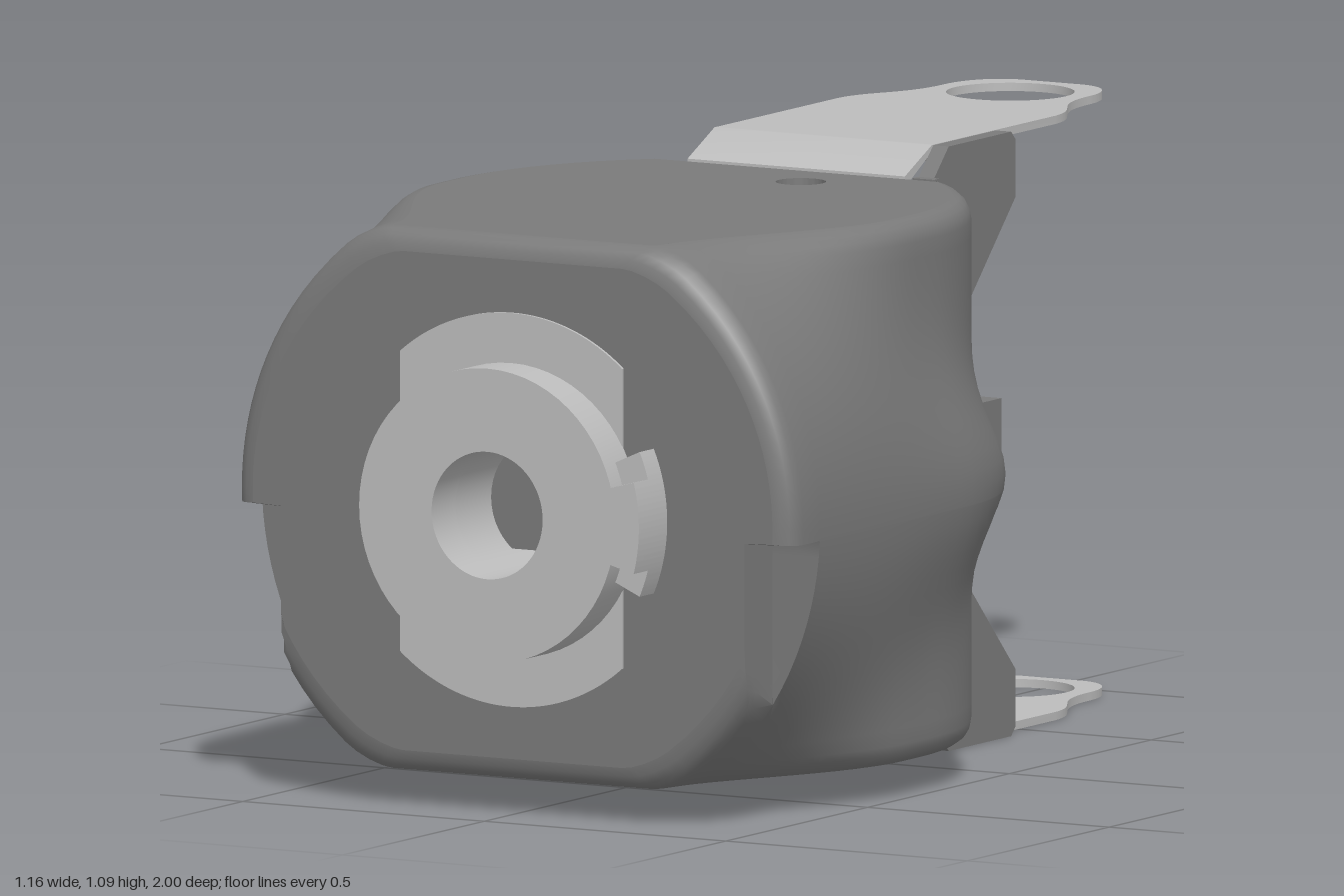
import * as THREE from 'three';
import { toCreasedNormals, mergeVertices } from 'three/addons/utils/BufferGeometryUtils.js';

const CY = 0.55, CZ = 0.28, HALF = 0.49, FIL = 0.04, R = 0.505, FRONT = 0.578;
const casing = new THREE.MeshStandardMaterial({ name: 'casing grey', color: 0x7a7a7a, side: THREE.DoubleSide });
const metal = new THREE.MeshStandardMaterial({ name: 'light metal', color: 0xbcbcbc, side: THREE.DoubleSide });

const smooth = THREE.MathUtils.smoothstep;

// Half width of the housing: round barrel at the back flowing into a round front flange
function halfWidth(dy, z) {
  const barrel = Math.sqrt(Math.max(0, R * R - Math.min(0, z - CZ) ** 2));
  const sigma = 0.1 + 0.35 * Math.max(z, 0);
  const ridge = 0.073 * smooth(z, -0.12, 0.05) * Math.exp(-((dy / sigma) ** 2));
  const flange = Math.sqrt(FRONT * FRONT - dy * dy);
  return THREE.MathUtils.lerp(barrel + ridge, flange, smooth(z, 0.35, 0.9));
}

// Rows over the height: [offset from middle, corner inset]
const rows = [];
const corner = [90, 67.5, 45, 22.5].map((d) => {
  const a = (d * Math.PI) / 180;
  return [0.45 + FIL * Math.sin(a), FIL * (1 - Math.cos(a))];
});
corner.forEach(([y, i]) => rows.push([-y, i]));
for (let k = -15; k <= 15; k++) {
  rows.push([k * 0.03, 0]);
  if (k === -1) rows.push([-0.028, 0]);
}
[...corner].reverse().forEach(([y, i]) => rows.push([y, i]));

function ring(z, inset = 0, notched = false) {
  const side = rows.map(([y, i]) => {
    let w = halfWidth(y, z) - i - inset;
    if (notched && y < -0.029) w = Math.min(w, 0.48);
    return [w, CY + y * (HALF - inset) / HALF, z];
  });
  return [...side, ...side.map(([x, y]) => [-x, y, z]).reverse()];
}

function surface(positions, index) {
  const g = new THREE.BufferGeometry();
  g.setAttribute('position', new THREE.Float32BufferAttribute(positions.flat(), 3));
  g.setIndex(index);
  return toCreasedNormals(g, 0.6);
}

// Ribbon through pairs of points
function ribbon(pairs) {
  const index = [];
  for (let k = 0; k < pairs.length - 1; k++) {
    const a = 2 * k;
    index.push(a, a + 1, a + 3, a, a + 3, a + 2);
  }
  return surface(pairs.flat(), index);
}

const shapeOf = (pts) => new THREE.Shape(pts.map(([x, y]) => new THREE.Vector2(x, y)));
function hole(shape, x, y, r) {
  shape.holes.push(new THREE.Path().absarc(x, y, r, 0, Math.PI * 2, true));
  return shape;
}
function extrude(shape, depth) {
  const g = new THREE.ExtrudeGeometry(shape, { depth, bevelEnabled: false, curveSegments: 32 });
  return toCreasedNormals(mergeVertices(g), 0.6);
}
// Plan shape (x, z) with its upper face at height top
const slab = (shape, top, thick) => extrude(shape, thick).rotateX(Math.PI / 2).translate(0, top, 0);
// Side shape (z, y) with its outer face at x
const sidePlate = (shape, x, thick) => extrude(shape, thick).rotateY(-Math.PI / 2).translate(x, 0, 0);

export function createModel() {
  const model = new THREE.Group();
  model.name = 'motorHousingWithBracket';
  const add = (name, geometry, material, parent = model) => {
    const m = new THREE.Mesh(geometry, material);
    m.name = name;
    parent.add(m);
    return m;
  };

  // Housing skin, lofted from back to front
  const zs = [-0.14, -0.1];
  for (let k = 1; k <= 22; k++) zs.push(-0.1 + k * 0.04);
  const stations = zs.map((z) => [z, 0, false]);
  stations.push([0.8, 0, false], [0.801, 0, true], [0.86, 0, true]);
  for (const d of [22.5, 45, 67.5, 90]) {
    const a = (d * Math.PI) / 180;
    stations.push([0.86 + FIL * Math.sin(a), FIL * (1 - Math.cos(a)), true]);
  }
  const rings = stations.map((s) => ring(...s));
  const n = rings[0].length, h = rows.length, index = [];
  for (let k = 0; k < rings.length - 1; k++) {
    const z = stations[k][0];
    for (let j = 0; j < n; j++) {
      const flat = j === h - 1 || j === n - 1;
      if (flat && z < 0.855) continue;
      if (j >= h && j < n - 1) {
        const dy = (rows[n - 1 - j][0] + rows[n - 2 - j][0]) / 2;
        if (dy > 0.24 && dy < 0.45 && z < 0.775) continue; // side opening
        if (dy > 0.45 && z < -0.11) continue;
      }
      const a = k * n + j, b = k * n + ((j + 1) % n);
      index.push(a, b, b + n, a, b + n, a + n);
    }
  }
  add('housingSkin', surface(rings.flat(), index), casing);

  // Front face with the shaft bore
  const face = hole(shapeOf(rings[rings.length - 1]), 0, CY, 0.115);
  add('frontFace', new THREE.ShapeGeometry(face, 32).translate(0, 0, 0.9), casing);

  // Top and bottom plates with screw holes
  const plan = (start) => {
    const line = [start, ...zs.filter((z) => z > start + 0.01), 0.8, 0.86];
    const right = line.map((z) => [halfWidth(HALF, z) - FIL, z]);
    return shapeOf([...right, ...right.map(([x, z]) => [-x, z]).reverse()]);
  };
  add('topPlate', slab(hole(plan(-0.1), 0.08, 0.02, 0.045), CY + HALF, 0.035), casing);
  const base = plan(-0.14);
  const screws = [];
  for (const sx of [-1, 1]) for (const sz of [-1, 1]) screws.push([sx * 0.19, CZ + sz * 0.19]);
  screws.forEach(([x, z]) => hole(base, x, z, 0.04));
  add('bottomPlate', slab(base, 0.095, 0.035), casing);

  // Rim and front wall of the side opening
  const open = zs.filter((z) => z < 0.79);
  add('openingRim', ribbon(open.map((z) => {
    const w = halfWidth(0.24, z);
    return [[-w, 0.79, z], [-w + 0.045, 0.79, z]];
  })), casing);
  add('openingInnerWall', ribbon(open.map((z) => {
    const w = halfWidth(0.24, z) - 0.045;
    return [[-w, 0.79, z], [-w, 0.5, z]];
  })), casing);
  add('openingFrontWall', ribbon(rows.filter(([y]) => y > -0.1 && y < 0.46).map(([y]) =>
    [[-halfWidth(y, 0.78), CY + y, 0.78], [0.3, CY + y, 0.78]])), casing);
  for (const s of [-1, 1]) {
    const top = s > 0 ? 1.04 : 0.79;
    add('wallEdge', new THREE.BoxGeometry(0.045, top - 0.08, 0.02).translate(s * 0.252, (top + 0.08) / 2, -0.129), casing);
  }

  // Motor inside the housing
  const drum = (name, r, y0, y1, mat) =>
    add(name, new THREE.CylinderGeometry(r, r, y1 - y0, 64).translate(0, (y0 + y1) / 2, CZ), mat);
  drum('motorBody', 0.405, 0.1, 0.77, casing);
  drum('motorRing', 0.41, 0.785, 0.86, metal);
  drum('motorCollar', 0.34, 0.77, 0.91, casing);
  drum('motorCap', 0.29, 0.9, 0.94, metal);
  drum('motorShaft', 0.1, 0.94, 1.0, metal);

  // Mounting lug reaching out of the side opening
  const lug = new THREE.Shape();
  lug.moveTo(-0.3, CZ - 0.14);
  lug.lineTo(-0.5, CZ - 0.075);
  lug.absarc(-0.5, CZ, 0.077, -Math.PI / 2, Math.PI / 2, true);
  lug.lineTo(-0.3, CZ + 0.14);
  add('mountingLug', slab(hole(lug, -0.5, CZ, 0.04), 0.862, 0.052), metal);

  // Screw heads behind the plate holes
  const head = new THREE.CylinderGeometry(0.045, 0.045, 0.01, 24);
  screws.forEach(([x, z]) => add('screwHead', head, metal).position.set(x, 0.09, z));
  add('screwHead', head, metal).position.set(0.08, 1.0, 0.02);

  // Front hub: flush plate, raised ring and keyed tab
  const plate = new THREE.Shape();
  const a0 = Math.acos(0.23 / 0.355);
  plate.absarc(0, CY, 0.355, a0, Math.PI - a0, false);
  plate.absarc(0, CY, 0.355, Math.PI + a0, -a0, false);
  add('hubPlate', extrude(hole(plate, 0, CY, 0.115), 0.006).translate(0, 0, 0.9), metal);
  const disc = new THREE.Shape().absarc(0, CY, 0.265, 0, Math.PI * 2, false);
  add('hubRing', extrude(hole(disc, 0, CY, 0.115), 0.085).translate(0, 0, 0.905), metal);
  const tab = (name, r0, r1, half, z0, z1) => {
    const s = new THREE.Shape();
    s.absarc(0, CY, r1, -half, half, false);
    s.absarc(0, CY, r0, half, -half, true);
    add(name, extrude(s, z1 - z0).translate(0, 0, z0), metal);
  };
  tab('hubTab', 0.2, 0.32, 0.42, 0.9, 0.95);
  tab('hubKey', 0.267, 0.32, 0.26, 0.9, 1.0);
  add('shaftBore', new THREE.CylinderGeometry(0.115, 0.115, 0.2, 48, 1, true).rotateX(Math.PI / 2).translate(0, CY, 0.805), metal);
  add('boreFloor', new THREE.CircleGeometry(0.115, 48).translate(0, CY, 0.71), casing);

  // Bracket side flanges: full height on the left, lower half on the right
  const lower = [[-0.1, 0.06], [-0.14, 0.055], [-0.195, 0], [-0.415, 0], [-0.43, 0.015], [-0.43, 0.12], [-0.22, 0.335]];
  const upper = lower.map(([z, y]) => [z, 1.09 - y]).reverse();
  add('leftFlange', sidePlate(shapeOf([...lower, ...upper]), 0.26, 0.032), casing);
  add('rightFlange', sidePlate(shapeOf([...lower, [-0.22, 0.66], [-0.15, 0.74], [-0.1, 0.74]]), -0.228, 0.032), casing);

  // Locating block on the left flange
  add('locatingBlock', new THREE.BoxGeometry(0.115, 0.12, 0.15).translate(0.297, 0.58, -0.145), casing);

  // Bracket arms with eyelets, joined to the housing by a sloped bend
  const arm = new THREE.Shape();
  arm.moveTo(0.225, -0.2);
  arm.lineTo(0.225, -0.63);
  arm.bezierCurveTo(0.22, -0.73, 0.15, -0.74, 0.15, -0.88);
  arm.bezierCurveTo(0.15, -0.95, 0.11, -1, 0.06, -1);
  arm.lineTo(-0.06, -1);
  arm.bezierCurveTo(-0.11, -1, -0.15, -0.95, -0.15, -0.88);
  arm.bezierCurveTo(-0.15, -0.74, -0.22, -0.73, -0.225, -0.63);
  arm.lineTo(-0.225, -0.2);
  hole(arm, 0, -0.855, 0.115);
  const bend = shapeOf([[-0.1, 1.025], [-0.1, 1.045], [-0.195, 1.09], [-0.205, 1.09], [-0.205, 1.075], [-0.19, 1.075]]);
  const pad = new THREE.Shape();
  pad.moveTo(0.25, -0.29);
  pad.lineTo(0.13, -0.29);
  pad.absarc(0.13, -0.35, 0.06, Math.PI / 2, Math.PI * 1.5, false);
  pad.lineTo(0.25, -0.41);
  const armTop = slab(arm, 1.09, 0.015), bendTop = sidePlate(bend, 0.225, 0.45), padTop = slab(pad, 1.075, 0.03);
  for (const side of ['upper', 'lower']) {
    const g = new THREE.Group();
    g.name = side + 'Arm';
    add('armPlate', armTop, metal, g);
    add('armBend', bendTop, metal, g);
    add('armPad', padTop, casing, g);
    if (side === 'lower') {
      g.scale.y = -1;
      g.position.y = 1.09;
    }
    model.add(g);
  }
  return model;
}
